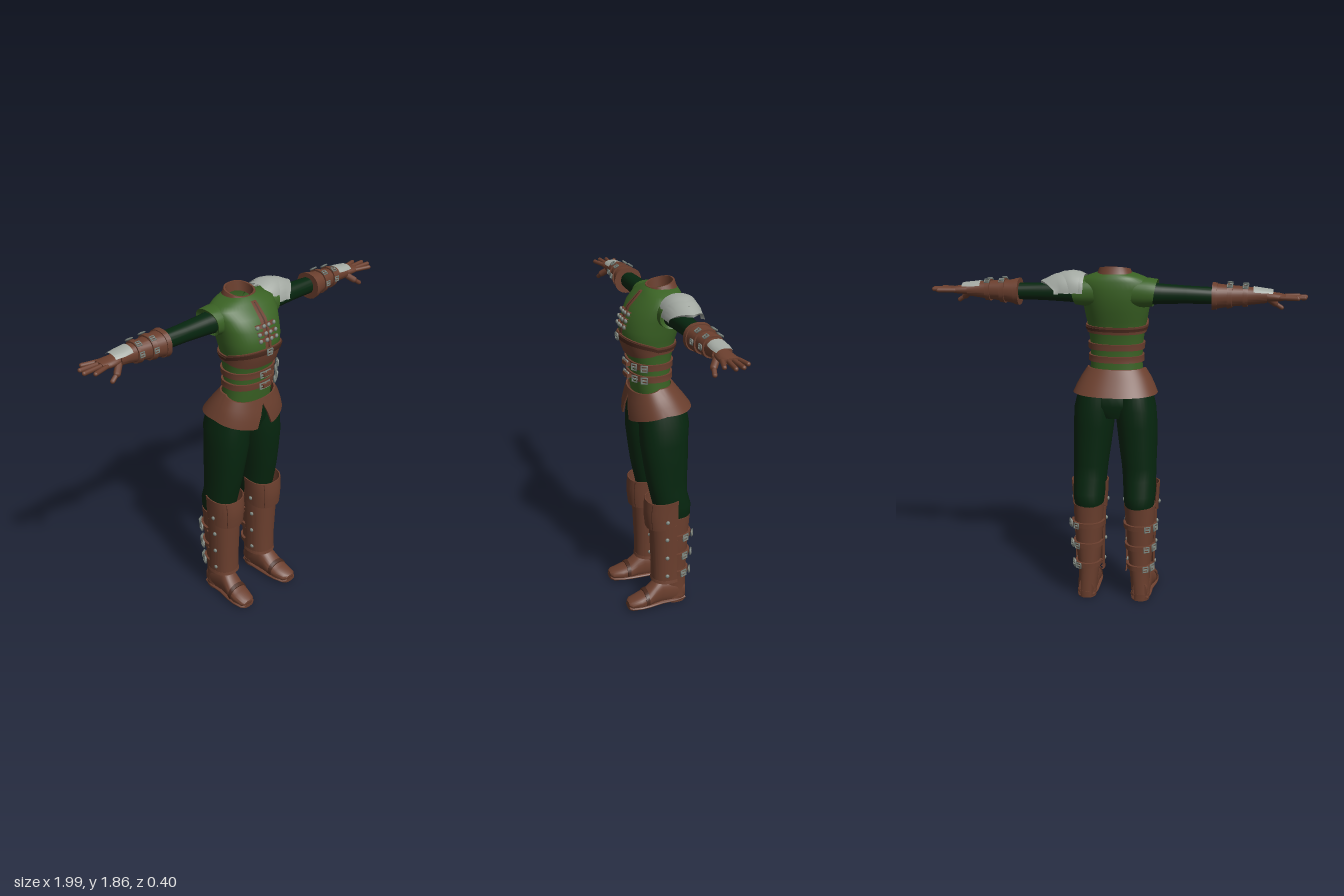
import * as THREE from 'three';
import { toCreasedNormals } from 'three/addons/utils/BufferGeometryUtils.js';

const paint = (name, color) => {
  const m = new THREE.MeshStandardMaterial({ color, side: THREE.DoubleSide });
  m.name = name;
  return m;
};
const PI = Math.PI;

export function createModel() {
  const leather = paint('leather', 0x6b3f2e), darkLeather = paint('dark leather', 0x4a2a1e);
  const green = paint('tunic green', 0x3a6224), cloth = paint('dark green cloth', 0x06260f);
  const steel = paint('steel', 0xa4aaa3), buckleSteel = paint('buckle steel', 0x7c857e);
  const model = new THREE.Group();
  model.name = 'outfit';

  const add = (parent, name, geo, mat) => {
    const m = new THREE.Mesh(geo, mat);
    m.name = name;
    parent.add(m);
    return m;
  };
  // Surface over u (around) and v (along)
  const grid = (P, nu, nv, closed) => {
    const pos = [], idx = [], w = closed ? nu : nu + 1;
    for (let j = 0; j <= nv; j++) for (let i = 0; i < w; i++) pos.push(...P(i / nu, j));
    for (let j = 0; j < nv; j++) for (let i = 0; i < nu; i++) {
      const a = j * w + i, b = j * w + (i + 1) % w;
      idx.push(a, b, a + w, b, b + w, a + w);
    }
    const g = new THREE.BufferGeometry();
    g.setAttribute('position', new THREE.Float32BufferAttribute(pos, 3));
    g.setIndex(idx);
    return toCreasedNormals(g, 0.8);
  };
  // A ring is [position on axis, centre 1, centre 2, radius 1, radius 2]
  const ringAt = (rings, s) => {
    let i = 0;
    while (i < rings.length - 2 && s > rings[i + 1][0]) i++;
    const a = rings[i], b = rings[i + 1];
    const t = THREE.MathUtils.clamp((s - a[0]) / (b[0] - a[0]), 0, 1);
    return a.map((v, k) => v + (b[k] - v) * t);
  };
  const bulge = v => Math.sign(v) * Math.abs(v) ** 0.88;
  const onRing = ([s, c1, c2, r1, r2], axis, a, off = 0, shift = 0) => {
    const p = c1 + (r1 + off) * bulge(Math.sin(a)), q = c2 + (r2 + off) * bulge(Math.cos(a));
    return axis === 'y' ? [p, s + shift, q] : axis === 'x' ? [s + shift, q, p] : [p, q, s + shift];
  };
  const loft = (rings, { axis = 'y', a0 = -PI, a1 = PI, cap = false, shift = () => 0, n = 32 } = {}) => {
    const shut = r => [r[0], r[1], r[2], 1e-4, 1e-4];
    const rs = cap ? [shut(rings[0]), ...rings, shut(rings.at(-1))] : rings;
    return grid((u, j) => {
      const a = a0 + (a1 - a0) * u;
      return onRing(rs[j], axis, a, 0, shift(a, j / (rs.length - 1)));
    }, n, rs.length - 1, a1 - a0 > 6.28);
  };
  // Raised strip that follows a lofted body
  const band = (rings, lo, hi, off, { axis = 'y', a0 = -PI, a1 = PI, n = 40 } = {}) => {
    const f = v => (typeof v === 'function' ? v : () => v);
    return grid((u, j) => {
      const a = a0 + (a1 - a0) * u, l = f(lo)(a), h = f(hi)(a);
      const s = [l, l, l + (h - l) / 3, l + (h - l) * 2 / 3, h, h][j];
      const r = ringAt(rings, s);
      r[0] = s;
      return onRing(r, axis, a, j % 5 ? off : -0.003);
    }, n, 5, a1 - a0 > 6.28);
  };
  // Put an object on a lofted body, facing outwards
  const attach = (obj, rings, axis, s, a, off) => {
    const r = ringAt(rings, s);
    r[0] = s;
    obj.position.set(...onRing(r, axis, a, off));
    if (axis === 'y') obj.rotation.y = a; else obj.rotation.x = a - PI / 2;
  };
  const buckle = (parent, rings, axis, s, a, off, size = 0.02) => {
    const g = new THREE.Group();
    g.name = 'buckle';
    add(g, 'buckleFrame', new THREE.TorusGeometry(size, size * 0.28, 4, 4).rotateZ(PI / 4), buckleSteel);
    add(g, 'bucklePin', new THREE.BoxGeometry(size * 1.6, size * 0.3, size * 0.4), buckleSteel);
    attach(g, rings, axis, s, a, off);
    parent.add(g);
  };
  const rivet = (parent, rings, axis, s, a, off) => {
    const m = add(parent, 'rivet', new THREE.SphereGeometry(0.012, 8, 6).scale(1, 1, 0.7), buckleSteel);
    attach(m, rings, axis, s, a, off);
  };
  const rod = (parent, name, a, b, r, mat) => {
    const A = new THREE.Vector3(...a), d = new THREE.Vector3(...b).sub(A);
    const m = add(parent, name, new THREE.CapsuleGeometry(r, d.length(), 4, 10), mat);
    m.position.copy(A).addScaledVector(d, 0.5);
    m.quaternion.setFromUnitVectors(new THREE.Vector3(0, 1, 0), d.normalize());
  };

  // Tunic
  const torso = [
    [1.25, 0, 0, 0.145, 0.1], [1.36, 0, 0.012, 0.138, 0.103], [1.44, 0, 0.012, 0.142, 0.108],
    [1.52, 0, 0.02, 0.152, 0.13], [1.57, 0, 0.02, 0.163, 0.143], [1.62, 0, 0.012, 0.172, 0.15],
    [1.68, 0, -0.002, 0.178, 0.148], [1.74, 0, -0.02, 0.19, 0.135], [1.78, 0, -0.038, 0.19, 0.112],
    [1.8, 0, -0.046, 0.155, 0.1], [1.815, 0, -0.05, 0.115, 0.088], [1.825, 0, -0.05, 0.08, 0.072]];
  const tunic = new THREE.Group();
  tunic.name = 'tunic';
  model.add(tunic);
  add(tunic, 'tunicBody', loft(torso, { n: 48 }), green);
  add(tunic, 'collar', loft([[1.805, 0, -0.05, 0.095, 0.085], [1.825, 0, -0.05, 0.088, 0.077],
    [1.842, 0, -0.05, 0.082, 0.073], [1.842, 0, -0.05, 0.073, 0.064], [1.79, 0, -0.05, 0.07, 0.06]],
    { shift: a => -0.016 * Math.cos(a) }), leather);
  add(tunic, 'placket', band(torso, 1.59, 1.805, 0.005, { a0: -0.09, a1: 0.09, n: 4 }), leather);
  add(tunic, 'placketSeam', band(torso, 1.59, 1.8, 0.008, { a0: -0.015, a1: 0.015, n: 2 }), darkLeather);
  for (const y of [1.635, 1.668, 1.702]) {
    add(tunic, 'clasp', band(torso, y - 0.008, y + 0.008, 0.01, { a0: -0.3, a1: 0.3, n: 8 }), leather);
    for (const a of [-0.25, -0.06, 0.06, 0.25]) rivet(tunic, torso, 'y', y, a, 0.013);
  }
  // Chest band and belts
  const front = a => Math.max(0, Math.cos(a)) ** 0.7;
  add(tunic, 'chestBand', band(torso, a => 1.5 - 0.022 * front(a), a => 1.54 + 0.045 * front(a), 0.009), leather);
  add(tunic, 'chestStrap', band(torso, a => 1.515 + 0.04 * front(a), a => 1.53 + 0.05 * front(a), 0.014), darkLeather);
  buckle(tunic, torso, 'y', 1.572, -0.03, 0.022, 0.022);
  for (const y of [1.362, 1.428]) {
    add(tunic, 'belt', band(torso, y - 0.017, y + 0.017, 0.011), leather);
    for (const a of [-0.07, 0.09, 0.55, 1.0]) buckle(tunic, torso, 'y', y, a, 0.025, 0.022);
    const tip = add(tunic, 'beltTip', new THREE.BoxGeometry(0.06, 0.02, 0.03), leather);
    attach(tip, torso, 'y', y, 0.05, 0.02);
  }
  // Split skirt
  const hem = a => {
    const b = Math.abs(a);
    return b < 0.18 ? 1.25 - 0.135 * b / 0.18 : Math.min(1.18, 1.115 + 0.05 * (b - 0.18));
  };
  const skirt = [[1.1, 0, -0.03, 0.235, 0.172], [1.18, 0, -0.03, 0.222, 0.168], [1.25, 0, -0.012, 0.19, 0.135],
    [1.3, 0, 0.004, 0.155, 0.108], [1.33, 0, 0.01, 0.142, 0.102]];
  add(model, 'skirt', band(skirt, hem, a => 1.31 - 0.035 * front(a), 0.006, { n: 72 }), leather);

  // Trousers
  add(model, 'trouserSeat', loft([[1.05, 0, -0.035, 0.1, 0.1], [1.12, 0, -0.034, 0.2, 0.125],
    [1.2, 0, -0.025, 0.19, 0.125], [1.29, 0, 0, 0.14, 0.095]]), cloth);
  const leg = [[0.52, 0.14, -0.07, 0.07, 0.09], [0.56, 0.14, -0.075, 0.082, 0.1], [0.62, 0.14, -0.07, 0.088, 0.105],
    [0.7, 0.137, -0.05, 0.09, 0.103], [0.78, 0.133, -0.042, 0.094, 0.112], [0.88, 0.127, -0.037, 0.102, 0.122],
    [1.0, 0.119, -0.03, 0.109, 0.131], [1.1, 0.112, -0.034, 0.109, 0.135], [1.2, 0.1, -0.03, 0.098, 0.125]];
  const shaft = [[0.03, 0.153, -0.085, 0.052, 0.064], [0.1, 0.148, -0.08, 0.053, 0.07], [0.17, 0.145, -0.07, 0.058, 0.08],
    [0.3, 0.145, -0.068, 0.07, 0.088], [0.45, 0.145, -0.065, 0.08, 0.098], [0.555, 0.142, -0.068, 0.086, 0.104]];
  const greave = [[0.15, 0.143, -0.042, 0.077, 0.086], [0.17, 0.143, -0.042, 0.073, 0.082],
    [0.32, 0.143, -0.04, 0.08, 0.087], [0.52, 0.144, -0.035, 0.087, 0.09]];
  const knee = [[0.5, 0.144, -0.025, 0.091, 0.103], [0.58, 0.144, -0.02, 0.094, 0.107], [0.64, 0.144, -0.02, 0.097, 0.105],
    [0.68, 0.144, -0.025, 0.1, 0.1]];
  const foot = [[0.2, 0.17, 0.038, 0.03, 0.012], [0.185, 0.168, 0.036, 0.047, 0.026], [0.13, 0.164, 0.04, 0.059, 0.038],
    [0.08, 0.16, 0.05, 0.06, 0.05], [0.04, 0.156, 0.07, 0.057, 0.068], [0, 0.152, 0.08, 0.054, 0.085],
    [-0.08, 0.152, 0.07, 0.054, 0.08], [-0.14, 0.152, 0.06, 0.04, 0.055]];

  const buildLeg = side => {
    const g = new THREE.Group();
    g.name = side < 0 ? 'rightLeg' : 'leftLeg';
    g.scale.x = side;
    model.add(g);
    add(g, 'trouserLeg', loft(leg), cloth);
    add(g, 'bootShaft', loft(shaft, { cap: true }), leather);
    add(g, 'greave', band(greave, 0.15, 0.52, 0.003, { a0: -1.95, a1: 1.95 }), leather);
    add(g, 'greaveRim', band(greave, 0.15, 0.168, 0.007, { a0: -1.95, a1: 1.95 }), leather);
    add(g, 'kneeGuard', band(knee, a => 0.5 + 0.035 * (a / 2) ** 4, a => 0.665 + 0.01 * (a / 2) ** 2, 0.003,
      { a0: -2.05, a1: 2.05 }), leather);
    for (const a of [-0.65, 0.65]) add(g, 'kneeSeam', band(knee, 0.505, 0.66, 0.006, { a0: a - 0.02, a1: a + 0.02, n: 2 }), darkLeather);
    // Foot, sole and heel
    const footGeo = loft(foot, { axis: 'z', cap: true });
    const p = footGeo.attributes.position;
    for (let i = 0; i < p.count; i++) p.setY(i, Math.max(p.getY(i), 0.018));
    add(g, 'foot', footGeo, leather);
    const sole = foot.map(r => [r[0], r[1], 0.018, r[3] + 0.005, 0.013]);
    add(g, 'sole', loft(sole, { axis: 'z', cap: true }), leather);
    add(g, 'toeStrap', loft([0.105, 0.085].map(z => {
      const r = ringAt([...foot].reverse(), z);
      return [z, r[1], r[2], r[3] + 0.004, r[4] + 0.006];
    }), { axis: 'z', a0: -1.8, a1: 1.8, cap: true }), darkLeather);
    add(g, 'heel', loft([[0, 0.152, -0.09, 0.05, 0.058], [0.04, 0.152, -0.09, 0.053, 0.06]], { cap: true }), leather);
    // Calf straps
    for (const y of [0.2, 0.32, 0.44]) {
      add(g, 'calfStrap', band(shaft, y - 0.014, y + 0.014, 0.013, { a0: 1.6, a1: 2 * PI - 1.6 }), leather);
      buckle(g, shaft, 'y', y, 2.0, 0.02, 0.024);
      buckle(g, shaft, 'y', y, 2.65, 0.022, 0.02);
      for (const a of [-1.35, 1.35]) rivet(g, greave, 'y', y, a, 0.006);
    }
    rivet(g, knee, 'y', 0.555, 1.5, 0.006);
    rivet(g, knee, 'y', 0.555, -1.5, 0.006);
  };

  // Sleeves, gauntlets and hands
  const gauntlet = [[0.51, -0.052, 1.71, 0.072, 0.066], [0.54, -0.052, 1.71, 0.068, 0.063], [0.6, -0.053, 1.713, 0.058, 0.055],
    [0.68, -0.054, 1.715, 0.049, 0.048], [0.74, -0.055, 1.716, 0.043, 0.041], [0.79, -0.055, 1.718, 0.05, 0.036]];
  const buildArm = side => {
    const g = new THREE.Group();
    g.name = side < 0 ? 'rightArm' : 'leftArm';
    g.scale.x = side;
    model.add(g);
    add(g, 'shoulderCap', loft([[0.1, -0.055, 1.72, 0.085, 0.078], [0.17, -0.055, 1.72, 0.088, 0.076],
      [0.215, -0.055, 1.72, 0.085, 0.07], [0.2, -0.055, 1.72, 0.06, 0.05]],
      { axis: 'x', shift: a => 0.012 * Math.cos(a) }), green);
    add(g, 'sleeve', loft([[0.12, -0.055, 1.715, 0.065, 0.062], [0.25, -0.055, 1.715, 0.053, 0.052],
      [0.38, -0.055, 1.714, 0.047, 0.046], [0.53, -0.055, 1.712, 0.044, 0.043]], { axis: 'x' }), cloth);
    add(g, 'gauntlet', loft(gauntlet, { axis: 'x', cap: true }), leather);
    add(g, 'gauntletCuff', band(gauntlet, 0.51, 0.535, 0.005, { axis: 'x' }), leather);
    for (const x of [0.6, 0.68]) {
      add(g, 'wristStrap', band(gauntlet, x - 0.013, x + 0.013, 0.008, { axis: 'x' }), leather);
      for (const a of [-0.6, 0.55, 1.5]) buckle(g, gauntlet, 'x', x, a, 0.014, 0.017);
    }
    add(g, 'handPlate', loft([[0.72, -0.055, 1.722, 0.05, 0.043], [0.77, -0.055, 1.722, 0.053, 0.036],
      [0.82, -0.055, 1.722, 0.045, 0.03]], { axis: 'x', a0: -1.2, a1: 1.2, n: 12 }), steel);
    add(g, 'palm', loft([[0.76, -0.055, 1.716, 0.034, 0.03], [0.8, -0.053, 1.714, 0.042, 0.025],
      [0.85, -0.055, 1.713, 0.047, 0.021], [0.885, -0.058, 1.713, 0.045, 0.014]], { axis: 'x', cap: true, n: 20 }), leather);
    [[0.95, 0.005], [0.985, -0.035], [0.98, -0.075], [0.945, -0.112]].forEach(([x, z], i) =>
      rod(g, 'finger', [0.86, 1.713, -0.022 - i * 0.024], [x, 1.714, z], 0.0115, leather));
    rod(g, 'thumbBase', [0.79, 1.705, -0.03], [0.83, 1.672, 0.003], 0.018, leather);
    rod(g, 'thumb', [0.83, 1.672, 0.003], [0.865, 1.648, 0.012], 0.012, leather);
  };
  for (const side of [1, -1]) {
    buildLeg(side);
    buildArm(side);
  }

  // Layered shoulder plates on the left
  const pauldron = new THREE.Group();
  pauldron.name = 'shoulderArmour';
  model.add(pauldron);
  for (const [x0, x1, top, drop, half] of [[0.15, 0.27, 1.815, 0.012, 0.102], [0.17, 0.335, 1.825, 0.03, 0.107], [0.2, 0.39, 1.818, 0.05, 0.104]]) {
    const rings = [0, 0.3, 0.6, 0.85, 1, 1].map((t, j) => {
      const lip = j === 4 ? 0.007 : j === 5 ? -0.006 : 0;
      return [x0 + (x1 - x0) * t, -0.078, 1.705, half - 0.012 * t * t + lip, top - 1.705 + 0.012 * Math.sin(t * PI) - drop * t * t + lip];
    });
    add(pauldron, 'shoulderPlate', loft(rings, { axis: 'x', a0: -1.45, a1: 1.45,
      shift: (a, t) => -0.11 * t * Math.min(1, Math.abs(a) / 1.2) }), steel);
  }
  return model;
}
